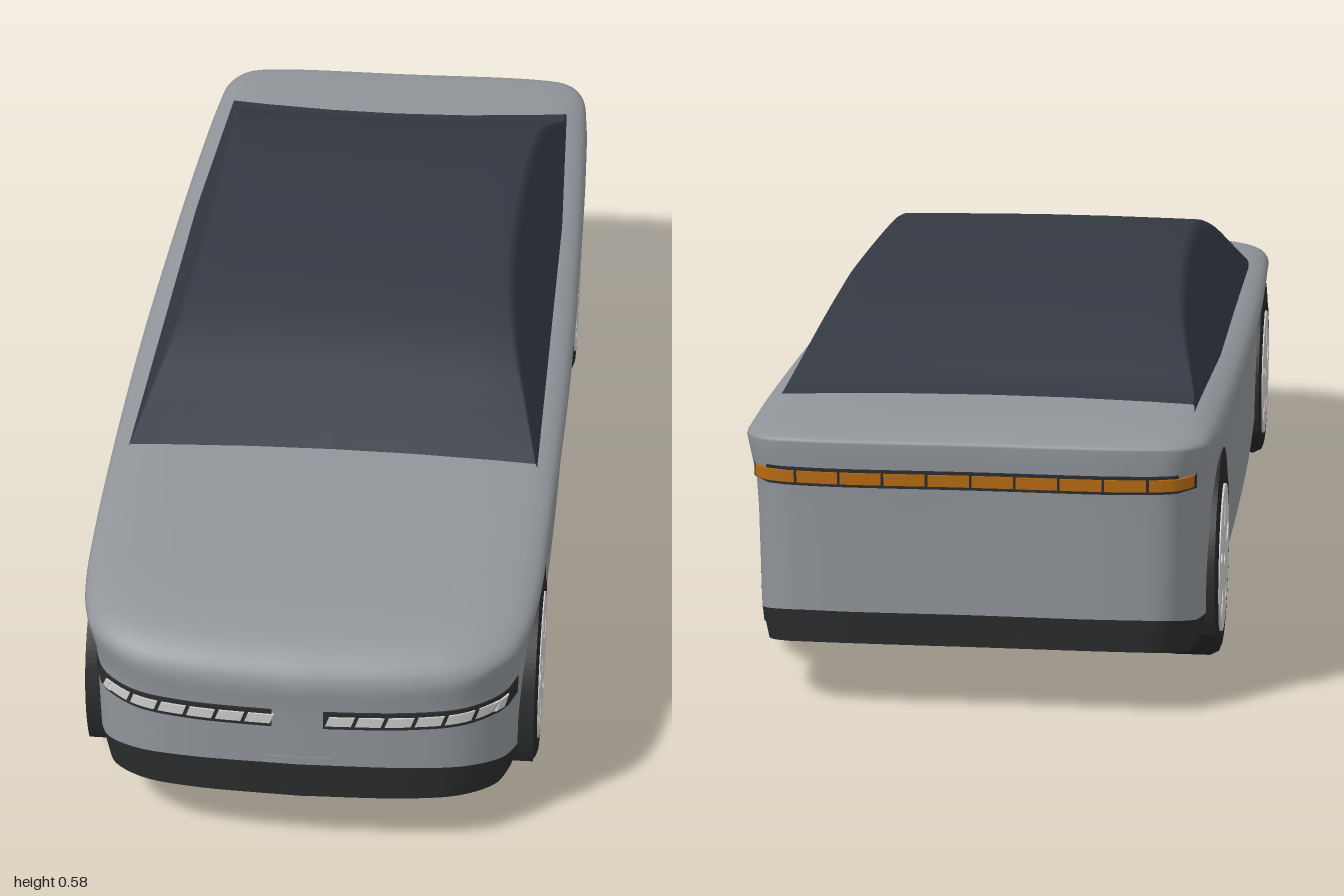
import * as THREE from 'three';
import { toCreasedNormals } from 'three/addons/utils/BufferGeometryUtils.js';

const mat = (color) => new THREE.MeshStandardMaterial({ color });
const paint = mat(0x909499), glass = mat(0x333842), trim = mat(0x2b2c2d);
const rubber = mat(0x262626), grey = mat(0xcccccc), white = mat(0xf2f2f5), amber = mat(0xb56a12);

function part(name, geometry, material, parent) {
  const mesh = new THREE.Mesh(geometry, material);
  mesh.name = name;
  parent.add(mesh);
  return mesh;
}

// Piecewise linear lookup in a list of [key, value], keys falling
function lookup(table, k) {
  for (let i = 1; i < table.length; i++) {
    const [k0, v0] = table[i - 1], [k1, v1] = table[i];
    if (k >= k1) return v0 + (v1 - v0) * THREE.MathUtils.clamp((k - k0) / (k1 - k0), 0, 1);
  }
  return table[table.length - 1][1];
}

// Smooth curve through [a, b] pairs
const smooth = (pairs, n) => new THREE.CatmullRomCurve3(
  pairs.map(([a, b]) => new THREE.Vector3(a, b, 0)), false, 'centripetal').getPoints(n);

// Skin over rows of [x, y, z] points
function loft(rows, closed = false) {
  const n = rows[0].length, index = [];
  for (let i = 0; i < rows.length - 1; i++) {
    for (let j = 0; j < (closed ? n : n - 1); j++) {
      const k = (j + 1) % n, a = i * n + j, b = i * n + k;
      index.push(a, b, b + n, a, b + n, a + n);
    }
  }
  const g = new THREE.BufferGeometry();
  g.setAttribute('position', new THREE.Float32BufferAttribute(rows.flat(2), 3));
  g.setIndex(index);
  g.computeVertexNormals();
  return g;
}

// Plan outline of the body, from nose centre along the left side to the tail
const half = smooth([[0, 1], [0.18, 0.988], [0.27, 0.965], [0.325, 0.92], [0.347, 0.87], [0.36, 0.79],
  [0.368, 0.6], [0.377, 0.2], [0.377, -0.2], [0.37, -0.65], [0.362, -0.85], [0.35, -0.94],
  [0.32, -0.985], [0.25, -1], [0, -1]], 90).map((p) => [p.x, p.y]);
const outline = [...half, ...half.slice(1, -1).reverse().map(([x, z]) => [-x, z])];

// Heights along the length
const floorY = [[1, 0.105], [0.9, 0.085], [0.75, 0.07], [-0.75, 0.07], [-0.9, 0.085], [-1, 0.11]];
const bandY = [[1, 0.165], [0.9, 0.135], [0.78, 0.105], [-0.75, 0.105], [-0.9, 0.135], [-1, 0.16]];
const shoulderY = [[1, 0.3], [0.95, 0.325], [0.85, 0.348], [0.6, 0.375], [0, 0.39], [-0.8, 0.405], [-1, 0.425]];
const deckY = [[1, 0.355], [0.95, 0.367], [0.9, 0.377], [0.8, 0.389], [0.6, 0.404], [0.45, 0.413],
  [0, 0.428], [-0.75, 0.447], [-1, 0.441]];
const sideScale = [[1, 1], [0.9, 0.985], [0.75, 0.962], [0.6, 0.955], [0, 0.948]];

// Inset an outline point towards the centre line
function inset([x, z], sx, sz) {
  const c = THREE.MathUtils.clamp(z, -0.65, 0.65);
  return [x * sx, c + (z - c) * sz];
}
const wall = (p, s) => inset(p, s, 1 - (1 - s) * 0.2);

function bodyShell(group) {
  const steps = (n) => Array.from({ length: n + 1 }, (_, i) => i / n);

  // Underside and dark lower band
  const lower = steps(4).map((t) => outline.map((p) => {
    const [x, z] = inset(p, 0.92 * t, 0.984 * t);
    return [x, lookup(floorY, z), z];
  }));
  steps(3).slice(1).forEach((t) => lower.push(outline.map((p) => {
    const [x, z] = wall(p, 0.92 + 0.028 * t);
    return [x, THREE.MathUtils.lerp(lookup(floorY, p[1]), lookup(bandY, p[1]), t), z];
  })));
  part('lowerBodyAndFloor', toCreasedNormals(loft(lower, true), 0.6), trim, group);

  // Painted sides, then bonnet and boot closing over the top
  const upper = steps(12).map((t) => outline.map((p) => {
    const [x, z] = wall(p, lookup(sideScale, t));
    return [x, THREE.MathUtils.lerp(lookup(bandY, p[1]), lookup(shoulderY, p[1]), t), z];
  }));
  [0.996, 0.985, 0.97, 0.945, 0.91, 0.86, 0.8, 0.7, 0.55, 0.4, 0.2, 0].forEach((s) => {
    const rise = Math.sqrt(1 - s ** 10);
    upper.push(outline.map((p) => {
      const [x, z] = inset(p, s, s);
      return [x, THREE.MathUtils.lerp(lookup(shoulderY, p[1]), lookup(deckY, z), rise), z];
    }));
  });
  part('bodyShell', loft(upper, true), paint, group);
}

// Glazed cabin, lofted from front to back
function cabin(group) {
  const roof = smooth([[-0.77, 0.451], [-0.73, 0.458], [-0.65, 0.495], [-0.55, 0.535], [-0.4, 0.566],
    [-0.25, 0.579], [0, 0.58], [0.13, 0.566], [0.25, 0.532], [0.38, 0.464], [0.46, 0.42]], 44);
  const rows = roof.map(({ x: z, y }) => {
    const t = (z + 0.77) / 1.23;
    const belt = THREE.MathUtils.lerp(0.447, 0.415, t), h = Math.max(y - belt, 0.004);
    const wb = 0.325 + 0.013 * Math.min(1, t * 3), edge = wb - 0.52 * h;
    const side = [[wb, -0.02], [wb, 0], [wb - 0.2 * h, 0.4 * h], [wb - 0.37 * h, 0.78 * h],
      [wb - 0.41 * h, 0.88 * h], [wb - 0.46 * h, 0.94 * h], [edge, 0.97 * h],
      [edge * 0.8, 0.98 * h], [edge * 0.4, 0.995 * h]];
    const section = [...side, [0, h], ...side.slice().reverse().map(([x, v]) => [-x, v])];
    const bend = 0.015 * t ** 4 - 0.03 * (1 - t) ** 4;
    return section.map(([x, v]) => [x, belt + v, z + bend * (x / 0.33) ** 2]);
  });
  part('cabinGlass', loft(rows), glass, group);
}

// Thin strip hugging the nose (dir = 1) or tail (dir = -1)
function strip(dir, x0, x1, y0, y1, scale, out, slant = 0) {
  const path = (dir > 0 ? half : half.slice().reverse()).slice(0, 45);
  const zAt = (x) => {
    const a = Math.abs(x) / scale;
    const i = Math.max(1, path.findIndex((p) => p[0] >= a));
    const [p, q] = [path[i - 1], path[i]];
    const z = p[1] + (q[1] - p[1]) * (a - p[0]) / (q[0] - p[0]);
    return inset([0, z], 1, 1 - (1 - scale) * 0.2)[1];
  };
  const n = 24, rows = [[y0, -0.012], [y0, out], [y1, out], [y1, -0.012]].map(([y, o], r) =>
    Array.from({ length: n + 1 }, (_, j) => {
      const x = THREE.MathUtils.lerp(x0, x1, dir > 0 ? j / n : 1 - j / n) + (r > 1 ? slant : 0);
      return [x + Math.sign(x) * o * 0.5 * (Math.abs(x) > 0.3 ? 1 : 0), y, zAt(x) + dir * o];
    }));
  return toCreasedNormals(loft(rows), 0.6);
}

function lights(group) {
  for (const side of [1, -1]) {
    const ends = (a, b) => (side > 0 ? [a, b] : [-b, -a]);
    const name = side > 0 ? 'left' : 'right';
    part(name + 'HeadlightHousing', strip(1, ...ends(0.04, 0.332), 0.236, 0.266, 0.953, 0.004), trim, group);
    for (let i = 0; i < 6; i++) {
      const a = 0.043 + i * 0.046;
      part(name + 'HeadlightSegment', strip(1, ...ends(a, a + 0.04), 0.243, 0.259, 0.953, 0.007, 0.006), white, group);
    }
  }
  part('tailLightHousing', strip(-1, -0.338, 0.338, 0.358, 0.386, 0.972, 0.003), trim, group);
  for (let i = 0; i < 10; i++) {
    const a = -0.334 + i * 0.067;
    part('tailLightSegment', strip(-1, a, a + 0.063, 0.363, 0.381, 0.972, 0.006), amber, group);
  }
  // Small ledge under the nose
  const ledge = part('noseLedge', new THREE.CylinderGeometry(0.075, 0.075, 0.008, 32), paint, group);
  ledge.scale.z = 0.12;
  ledge.position.set(0, 0.175, 0.988);
}

// Wheel facing +z, outer face at z = 0
function wheel() {
  const g = new THREE.Group();
  const profile = [[0, -0.097], [0.135, -0.097], [0.15, -0.092], [0.158, -0.078], [0.158, -0.018],
    [0.151, -0.004], [0.14, 0], [0.122, -0.002], [0.118, -0.014], [0, -0.014]];
  const tyre = new THREE.LatheGeometry(profile.map(([r, y]) => new THREE.Vector2(r, y)), 48);
  part('tyre', toCreasedNormals(tyre.rotateX(Math.PI / 2), 0.6), rubber, g);

  // Disc cover with five radial slots and a centre hole
  const disc = new THREE.Shape().absarc(0, 0, 0.119, 0, Math.PI * 2);
  for (let i = 0; i < 5; i++) {
    const a = Math.PI / 2 + i * Math.PI * 0.4;
    disc.holes.push(new THREE.Path().absellipse(0.078 * Math.cos(a), 0.078 * Math.sin(a),
      0.026, 0.012, 0, Math.PI * 2, true, a));
  }
  disc.holes.push(new THREE.Path().absarc(0, 0, 0.012, 0, Math.PI * 2, true));
  const cover = new THREE.ExtrudeGeometry(disc, { depth: 0.014, bevelEnabled: false, curveSegments: 24 });
  part('wheelCover', cover, grey, g).position.z = -0.013;
  return g;
}

function wheels(group) {
  const cut = Math.asin((0.158 - 0.075) / 0.177);
  const archShape = new THREE.Shape().absarc(0, 0, 0.177, -cut, Math.PI + cut);
  const arch = new THREE.ExtrudeGeometry(archShape, { depth: 0.07, bevelEnabled: false, curveSegments: 40 });
  for (const side of [1, -1]) {
    for (const [end, z] of [['front', 0.67], ['rear', -0.63]]) {
      const corner = new THREE.Group();
      corner.name = end + (side > 0 ? 'LeftWheel' : 'RightWheel');
      corner.position.set(side * 0.363, 0.158, z);
      corner.rotation.y = side * Math.PI / 2;
      part('wheelArch', arch, trim, corner).position.z = -0.074;
      corner.add(wheel());
      group.add(corner);
    }
  }
}

export function createModel() {
  const car = new THREE.Group();
  car.name = 'car';
  bodyShell(car);
  cabin(car);
  lights(car);
  wheels(car);
  return car;
}
